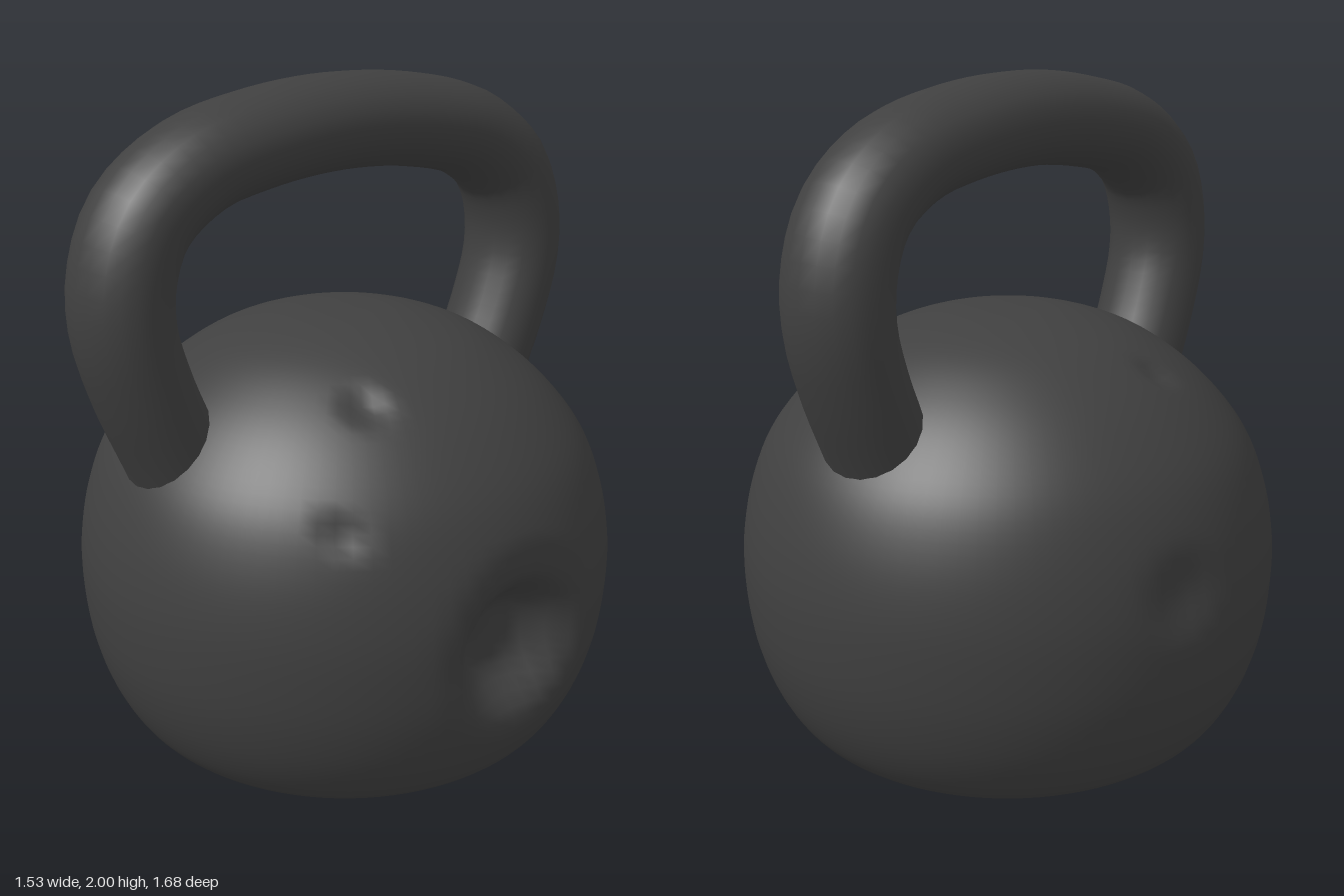
import * as THREE from 'three';
import { mergeVertices } from 'three/addons/utils/BufferGeometryUtils.js';

const iron = new THREE.MeshStandardMaterial({ color: 0x404040 });
iron.name = 'dark cast iron';

// Weld the vertices so the deformed surface shades smoothly across seams
function smooth(geometry) {
  geometry.deleteAttribute('uv');
  geometry.deleteAttribute('normal');
  const welded = mergeVertices(geometry, 1e-4);
  welded.computeVertexNormals();
  return welded;
}

// Rounded ball with a flattened base, a flat left side and a round recess in it
function createBody() {
  const profile = [
    [0, 0.005], [0.2, 0.012], [0.42, 0.03], [0.54, 0.06], [0.64, 0.125], [0.715, 0.24],
    [0.765, 0.39], [0.785, 0.55], [0.783, 0.68], [0.755, 0.83], [0.7, 0.97], [0.61, 1.09],
    [0.5, 1.19], [0.36, 1.275], [0.18, 1.33], [0, 1.345],
  ].map(([x, y]) => new THREE.Vector3(x, y, 0));
  const points = new THREE.CatmullRomCurve3(profile).getPoints(75)
    .map((p) => new THREE.Vector2(Math.max(p.x, 0), Math.max(p.y, 0)));
  points[0].x = points[points.length - 1].x = 0;
  const geometry = new THREE.LatheGeometry(points, 96);
  geometry.translate(0.022, 0, -0.02);

  // Shallow casting flaws: position, radius, depth
  const flaws = [
    [new THREE.Vector3(-0.48, 0.27, 0.5), 0.09, 0.03],
    [new THREE.Vector3(0.55, 0.93, 0.42), 0.08, 0.03],
    [new THREE.Vector3(0.41, 1.18, 0.23), 0.09, 0.03],
    [new THREE.Vector3(-0.74, 0.7, -0.2), 0.17, 0.03],
    [new THREE.Vector3(-0.45, 1.2, 0.05), 0.07, 0.02],
  ];
  const centre = new THREE.Vector3(0, 0.65, 0);
  const pos = geometry.attributes.position;
  const p = new THREE.Vector3();
  const inward = new THREE.Vector3();
  for (let i = 0; i < pos.count; i++) {
    p.fromBufferAttribute(pos, i);
    inward.subVectors(centre, p).normalize();
    for (const [spot, radius, depth] of flaws) {
      const t = 1 - THREE.MathUtils.smoothstep(p.distanceTo(spot), 0, radius);
      p.addScaledVector(inward, depth * t);
    }
    // Flat face, then the recess pressed into it
    p.x = Math.min(p.x, 0.752 + 0.016 * p.y);
    if (p.x > 0.5) {
      const r = Math.hypot(p.y - 0.55, p.z + 0.02);
      p.x -= 0.1 * (1 - THREE.MathUtils.smoothstep(r, 0.09, 0.22));
    }
    pos.setXYZ(i, p.x, p.y, p.z);
  }
  return smooth(geometry);
}

// Broad arched grip running front to back, its ends sunk into the ball
function createHandle() {
  const half = [[0.5, 0.86], [0.575, 1.04], [0.66, 1.24], [0.705, 1.4], [0.7, 1.54], [0.64, 1.68], [0.49, 1.79], [0.27, 1.845]];
  const path = [
    ...half.map(([z, y]) => new THREE.Vector3(0, y, z)),
    new THREE.Vector3(0, 1.867, 0),
    ...half.slice().reverse().map(([z, y]) => new THREE.Vector3(0, y, -z)),
  ];
  const geometry = new THREE.TubeGeometry(new THREE.CatmullRomCurve3(path), 64, 0.133, 20, false);
  geometry.scale(1.2, 1, 1);
  geometry.translate(0.004, 0, 0);
  return smooth(geometry);
}

export function createModel() {
  const model = new THREE.Group();
  model.name = 'kettlebell';
  const add = (name, geometry) => {
    const mesh = new THREE.Mesh(geometry, iron);
    mesh.name = name;
    model.add(mesh);
  };
  add('body', createBody());
  add('handle', createHandle());
  return model;
}
